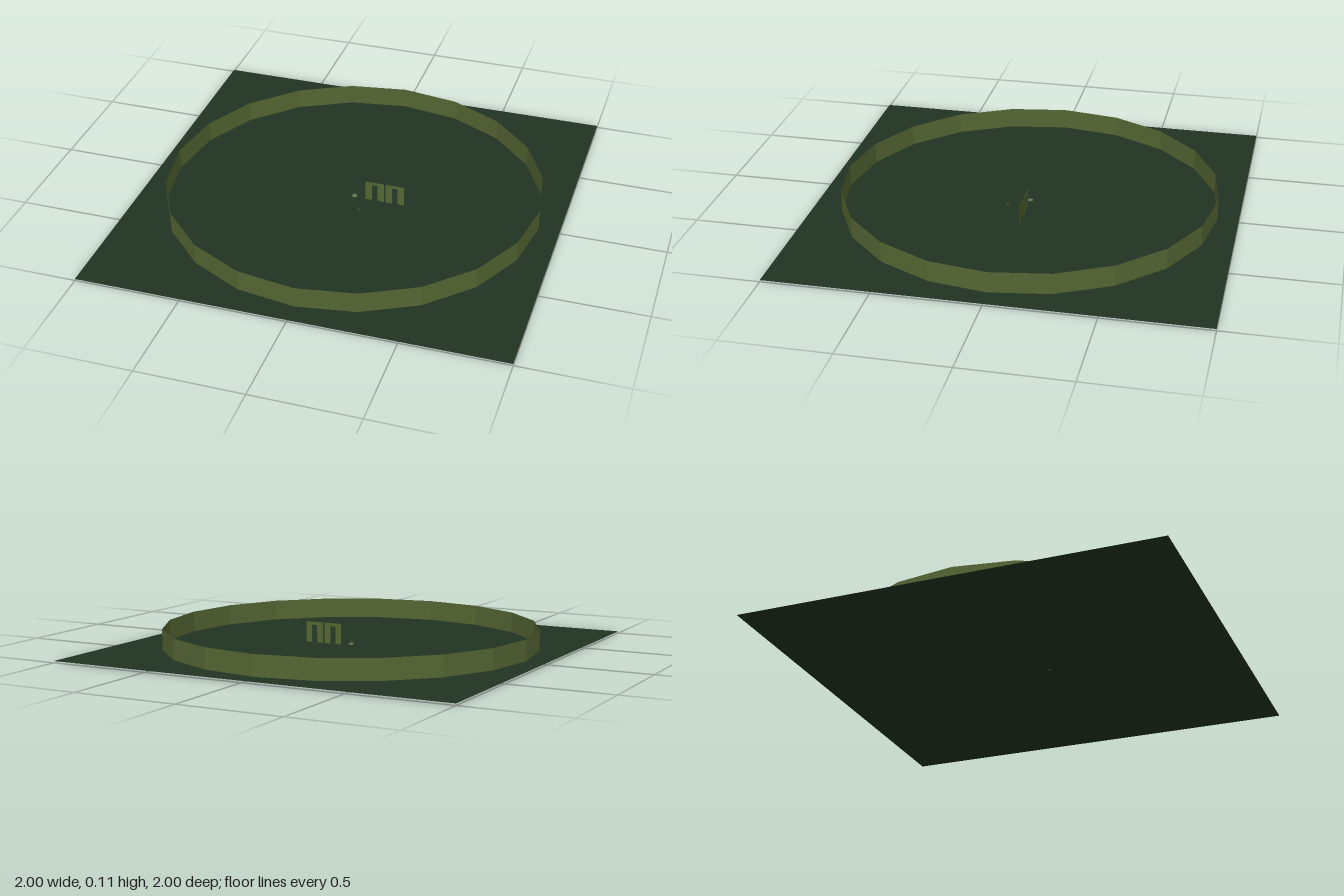
import * as THREE from 'three';

const GROUND_Y = 0.01;
const WALL_HEIGHT = 0.1;

function material(name, color, doubleSided = false) {
  const m = new THREE.MeshStandardMaterial({ color, flatShading: true });
  m.name = name;
  if (doubleSided) m.side = THREE.DoubleSide;
  return m;
}

export function createModel() {
  const model = new THREE.Group();
  model.name = 'arena';
  const groundGreen = material('dark green', 0x223322, true);
  const olive = material('olive', 0x556633, true);
  const stone = material('grey green', 0x667755);
  const dark = material('dark olive', 0x3a4428);

  function add(name, geometry, mat, x, y, z, parent = model) {
    const mesh = new THREE.Mesh(geometry, mat);
    mesh.name = name;
    mesh.position.set(x, y, z);
    parent.add(mesh);
    return mesh;
  }

  // Flat square ground
  add('ground', new THREE.PlaneGeometry(2, 2).rotateX(-Math.PI / 2), groundGreen, 0, GROUND_Y, 0);

  // Open ring wall with twenty flat sides
  add('ringWall', new THREE.CylinderGeometry(0.9, 0.9, WALL_HEIGHT, 20, 1, true),
    olive, 0, GROUND_Y + WALL_HEIGHT / 2, 0);

  // Two thin upright frames side by side
  for (const x of [0.1, 0.2]) {
    const frame = new THREE.Group();
    frame.name = 'frame';
    frame.position.set(x, GROUND_Y, 0);
    model.add(frame);
    for (const side of [-1, 1]) {
      add('framePost', new THREE.PlaneGeometry(0.032, WALL_HEIGHT), olive,
        side * 0.03, WALL_HEIGHT / 2, 0, frame);
    }
    add('frameLintel', new THREE.PlaneGeometry(0.028, 0.015), olive, 0, WALL_HEIGHT - 0.0075, 0, frame);
  }

  // Small stone at the centre and a pebble sunk halfway into the ground
  add('centreStone', new THREE.DodecahedronGeometry(0.014), stone, 0, GROUND_Y + 0.008, 0).scale.y = 0.5;
  add('pebble', new THREE.IcosahedronGeometry(0.01), dark, 0.05, GROUND_Y, 0.1);

  return model;
}
